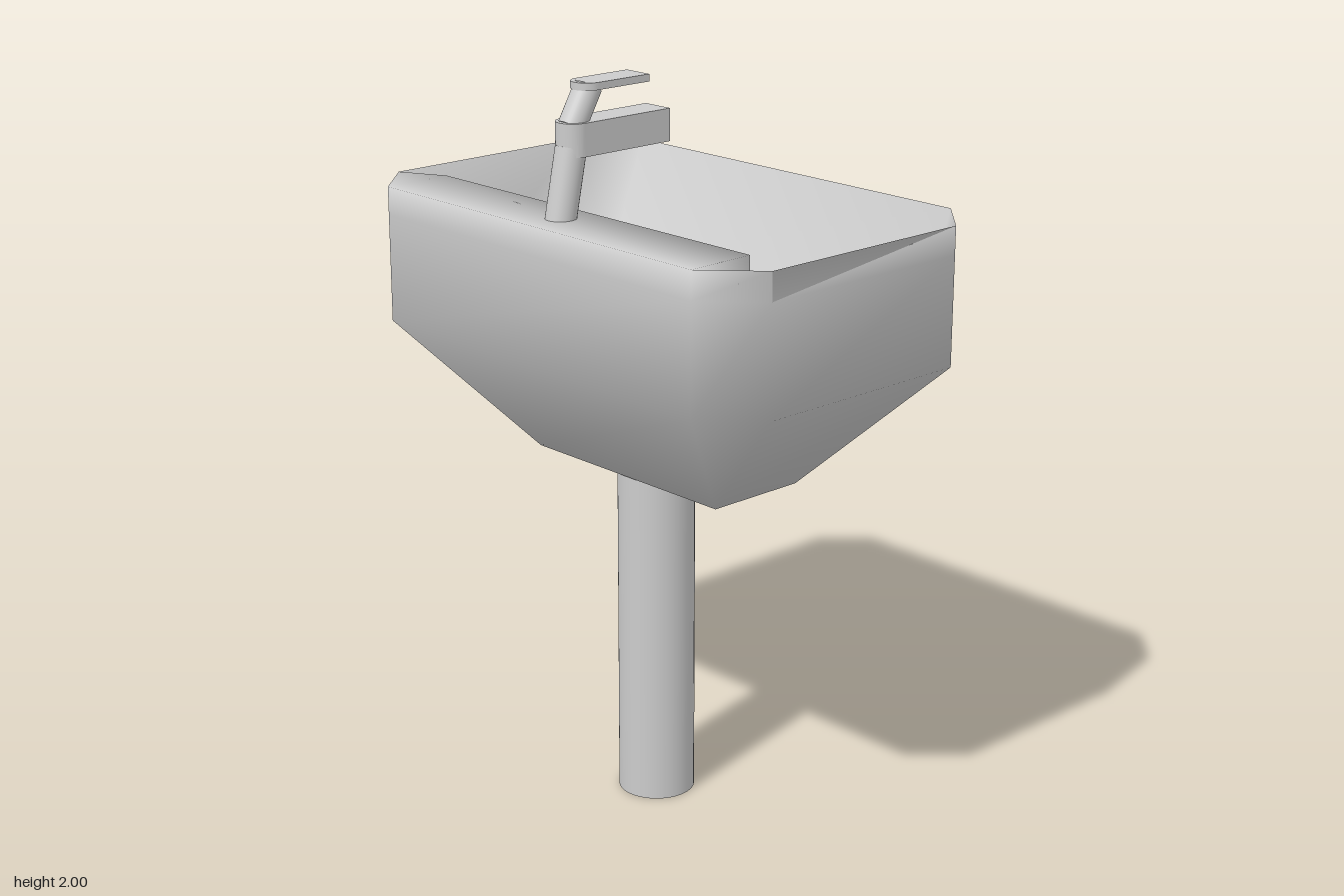
import * as THREE from 'three';

const material = new THREE.MeshStandardMaterial({ color: 0xcccccc });
const shellMaterial = new THREE.MeshStandardMaterial({ color: 0xcccccc, side: THREE.DoubleSide });

function part(name, geometry, mat = material) {
  const mesh = new THREE.Mesh(geometry, mat);
  mesh.name = name;
  return mesh;
}

// Round bar between two points
function bar(name, from, to, radius, segments = 32) {
  const a = new THREE.Vector3(...from), b = new THREE.Vector3(...to);
  const dir = b.clone().sub(a);
  const mesh = part(name, new THREE.CylinderGeometry(radius, radius, dir.length(), segments));
  mesh.position.copy(a).add(b).multiplyScalar(0.5);
  mesh.quaternion.setFromUnitVectors(new THREE.Vector3(0, 1, 0), dir.normalize());
  return mesh;
}

// Horizontal slab with a round end at -x and a square end at +x
function slab(name, x0, x1, y0, y1, z, r) {
  const shape = new THREE.Shape();
  shape.moveTo(x1, -r);
  shape.lineTo(x1, r);
  shape.lineTo(x0 + r, r);
  shape.absarc(x0 + r, 0, r, Math.PI / 2, Math.PI * 1.5, false);
  const geometry = new THREE.ExtrudeGeometry(shape, { depth: y1 - y0, bevelEnabled: false, curveSegments: 20 });
  geometry.rotateX(-Math.PI / 2).translate(0, y0, z);
  return part(name, geometry);
}

function basinGeometry() {
  const rim = [[-0.45, 0.575], [-0.32, 0.71], [0.32, 0.71], [0.45, 0.58],
    [0.45, -0.585], [0.32, -0.71], [-0.32, -0.71], [-0.45, -0.585]];
  const base = [[-0.13, 0.33], [0.16, 0.33], [0.16, -0.36], [-0.13, -0.36]];
  const floor = [[-0.255, 0.57], [0.33, 0.57], [0.33, -0.585], [-0.255, -0.585]];
  const topY = 1.665, floorY = 1.33;
  const positions = [], index = [];
  const addLoop = (points, y) => {
    const start = positions.length / 3;
    points.forEach(([x, z]) => positions.push(x, y, z));
    return points.map((_, i) => start + i);
  };
  const tri = (a, b, c) => { if (a !== b && b !== c && a !== c) index.push(a, b, c); };
  const quad = (a, b, c, d) => { tri(a, b, c); tri(a, c, d); };

  // Outer shell: rectangular base spreading to an octagonal upright wall
  const b = addLoop(base, 0.93);
  const loops = [[0, 0, 1, 1, 2, 2, 3, 3].map(i => b[i]),
    addLoop(rim, 1.3), addLoop(rim, 1.59), addLoop(rim, topY)];
  for (let k = 0; k < 3; k++) {
    for (let i = 0; i < 8; i++) {
      const j = (i + 1) % 8;
      quad(loops[k][i], loops[k][j], loops[k + 1][j], loops[k + 1][i]);
    }
  }
  quad(b[3], b[2], b[1], b[0]);

  // Bowl floor and sloping walls
  const t = loops[3];
  const f = addLoop(floor, floorY);
  quad(f[0], f[1], f[2], f[3]);
  const below = [f[0], f[0], f[1], f[1], f[2], f[2], f[3]];
  for (let i = 0; i < 6; i++) quad(t[i], t[i + 1], below[i + 1], below[i]);

  // Flat ledge for the tap, with its upright inner wall
  const [lf, lb] = addLoop([floor[0], floor[3]], topY);
  quad(t[0], lf, lb, t[7]);
  tri(lb, t[6], t[7]);
  quad(lf, f[0], f[3], lb);
  tri(t[0], f[0], lf);
  tri(lb, f[3], t[6]);

  const geometry = new THREE.BufferGeometry();
  geometry.setAttribute('position', new THREE.Float32BufferAttribute(positions, 3));
  geometry.setIndex(index);
  geometry.computeVertexNormals();
  return geometry;
}

export function createModel() {
  const model = new THREE.Group();
  model.name = 'pedestalSink';
  const z = -0.01;

  model.add(bar('pedestal', [-0.022, 0, z], [-0.022, 0.94, z], 0.104, 40));
  model.add(part('basin', basinGeometry(), shellMaterial));

  // Drain cap: low disc with a domed top
  const drainProfile = [[0, 0.03], [0.03, 0.027], [0.052, 0.018], [0.062, 0.004], [0.062, -0.02]]
    .reverse().map(([r, y]) => new THREE.Vector2(r, y));
  const drain = part('drain', new THREE.LatheGeometry(drainProfile, 32));
  drain.position.set(-0.022, 1.335, -0.015);
  model.add(drain);

  // Tap
  const tap = new THREE.Group();
  tap.name = 'tap';
  tap.add(bar('tapBody', [-0.346, 1.655, z], [-0.308, 1.84, z], 0.04));
  tap.add(slab('spout', -0.345, -0.015, 1.82, 1.905, z, 0.045));
  tap.add(bar('leverNeck', [-0.305, 1.89, z], [-0.25, 1.985, z], 0.036));
  tap.add(slab('lever', -0.295, -0.083, 1.981, 2.0, z, 0.042));
  model.add(tap);

  return model;
}
